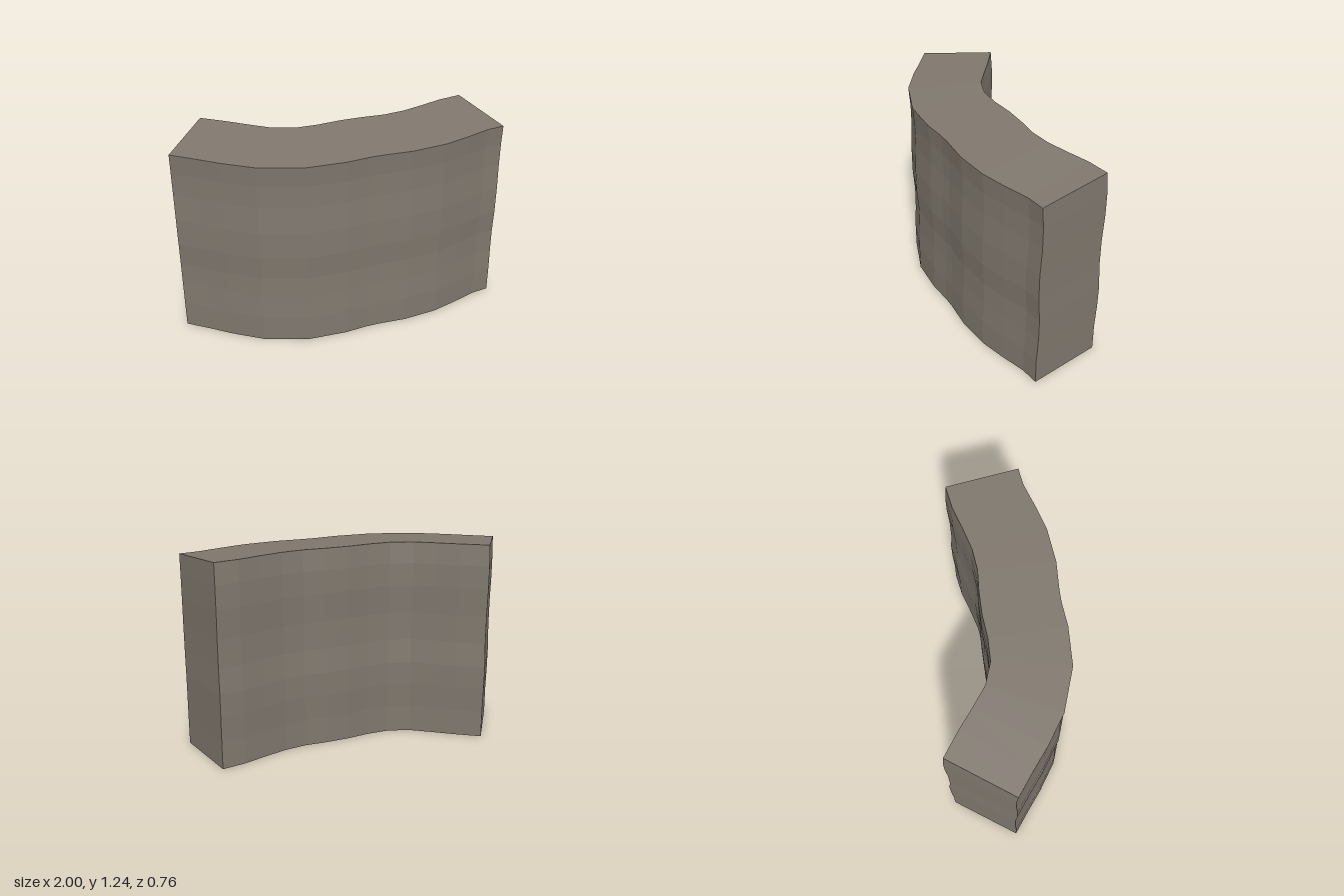
import * as THREE from 'three';

// Plan outline as [x, z], both edges running from the right end to the left end
const FRONT = [[-1, 0.08], [-0.86, 0.155], [-0.72, 0.235], [-0.53, 0.325], [-0.26, 0.375], [-0.02, 0.35], [0.12, 0.315],
  [0.2, 0.302], [0.38, 0.285], [0.59, 0.232], [0.74, 0.165], [0.89, 0.09], [1, 0.058]];
const BACK = [[-0.8, -0.325], [-0.64, -0.245], [-0.52, -0.178], [-0.39, -0.11], [-0.25, -0.083], [-0.11, -0.102], [0.03, -0.137],
  [0.17, -0.158], [0.31, -0.17], [0.44, -0.205], [0.57, -0.262], [0.71, -0.33], [0.85, -0.375]];

// Row heights as a fraction of full height, with a gentle forward and backward ripple
const ROWS = [0, 0.137, 0.262, 0.377, 0.5, 0.64, 0.78, 0.895, 1];
const RIPPLE = [0.003, 0.003, -0.005, -0.007, 0.003, 0.003, -0.006, -0.006, 0.003];
const FRONT_HEIGHT = 1.207, BACK_HEIGHT = 1.237;

function wallGeometry() {
  const ring = [
    ...FRONT.map(([x, z]) => [x, z, FRONT_HEIGHT]),
    ...BACK.slice().reverse().map(([x, z]) => [x, z, BACK_HEIGHT]),
  ];
  const n = ring.length, positions = [], index = [];
  const quad = (a, b, c, d) => index.push(a, b, c, a, c, d);

  ROWS.forEach((t, r) => ring.forEach(([x, z, h]) => positions.push(x, t * h, z + RIPPLE[r])));

  // Front, back and end faces
  for (let r = 0; r < ROWS.length - 1; r++) {
    for (let i = 0; i < n; i++) {
      const j = (i + 1) % n;
      quad(r * n + i, r * n + j, (r + 1) * n + j, (r + 1) * n + i);
    }
  }
  // Sloping top and flat underside, bridging front edge to back edge
  const top = (ROWS.length - 1) * n;
  for (let i = 0; i < FRONT.length - 1; i++) {
    const k = n - 1 - i;
    quad(top + i, top + i + 1, top + k - 1, top + k);
    quad(k, k - 1, i + 1, i);
  }

  const geometry = new THREE.BufferGeometry();
  geometry.setAttribute('position', new THREE.Float32BufferAttribute(positions, 3));
  geometry.setIndex(index);
  const flat = geometry.toNonIndexed();
  flat.computeVertexNormals();
  return flat;
}

export function createModel() {
  const stone = new THREE.MeshStandardMaterial({ color: 0x80786e, flatShading: true });
  stone.name = 'warm grey stone';

  const wall = new THREE.Mesh(wallGeometry(), stone);
  wall.name = 'curvedWall';

  const model = new THREE.Group();
  model.name = 'curvedWallSection';
  model.add(wall);
  return model;
}
